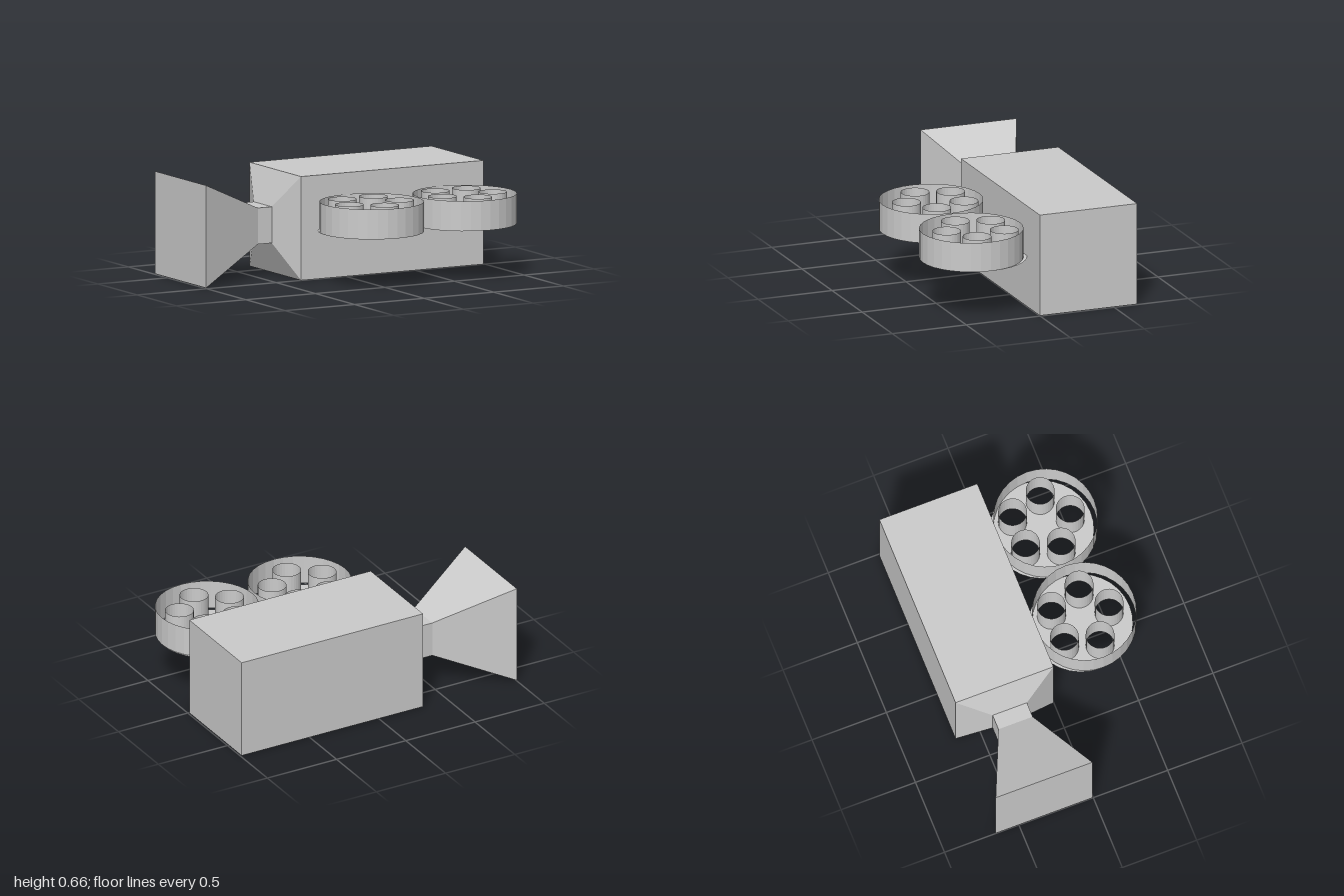
import * as THREE from 'three';

export function createModel() {
  const model = new THREE.Group();
  const solid = new THREE.MeshStandardMaterial({ color: 0xcccccc, flatShading: true });
  const sheet = new THREE.MeshStandardMaterial({ color: 0xcccccc, flatShading: true, side: THREE.DoubleSide });
  const axisY = 0.329, axisZ = -0.331;

  const add = (parent, name, geometry, material, x, y, z) => {
    const mesh = new THREE.Mesh(geometry, material);
    mesh.name = name;
    mesh.position.set(x, y, z);
    parent.add(mesh);
    return mesh;
  };

  // Square frustum along x, given the half widths at both ends
  const frustum = (name, x0, half0, x1, half1) => {
    const g = new THREE.CylinderGeometry(half1 * Math.SQRT2, half0 * Math.SQRT2, x1 - x0, 4);
    g.rotateY(Math.PI / 4).rotateZ(-Math.PI / 2);
    add(model, name, g, solid, (x0 + x1) / 2, axisY, axisZ);
  };

  // Camera body, lens neck and flared hood
  add(model, 'body', new THREE.BoxGeometry(1.31, 0.658, 0.658), solid, 0.335, axisY, axisZ);
  frustum('lensMount', -0.41, 0.115, -0.32, 0.329);
  frustum('lensNeck', -0.51, 0.115, -0.41, 0.115);
  frustum('lensHood', -1, 0.325, -0.51, 0.115);

  // Film reels: open drum with a perforated floor and five tubes
  const radius = 0.327, holeRadius = 0.09, ring = 0.19, height = 0.19, shift = -0.024;
  const holes = [];
  for (let i = 0; i < 5; i++) {
    const a = Math.PI / 2 + (i * Math.PI * 2) / 5;
    holes.push([ring * Math.cos(a), ring * Math.sin(a)]);
  }
  const floor = new THREE.Shape().absarc(0, 0, radius, 0, Math.PI * 2);
  for (const [x, z] of holes) {
    floor.holes.push(new THREE.Path().absarc(x, z, holeRadius, 0, Math.PI * 2, true));
  }
  const floorGeometry = new THREE.ShapeGeometry(floor, 16).rotateX(Math.PI / 2);
  const wallGeometry = new THREE.CylinderGeometry(radius, radius, height, 32, 1, true);
  const tubeGeometry = new THREE.CylinderGeometry(holeRadius, holeRadius, height, 32, 1, true);

  [['rightReel', 0], ['leftReel', 0.669]].forEach(([name, x]) => {
    const reel = new THREE.Group();
    reel.name = name;
    reel.position.set(x, 0.427, 0.331);
    add(reel, 'reelWall', wallGeometry, sheet, 0, 0, 0);
    add(reel, 'reelFloor', floorGeometry, sheet, 0, -height / 2, shift);
    holes.forEach(([hx, hz]) => add(reel, 'reelTube', tubeGeometry, sheet, hx, 0, hz + shift));
    model.add(reel);
  });

  return model;
}
